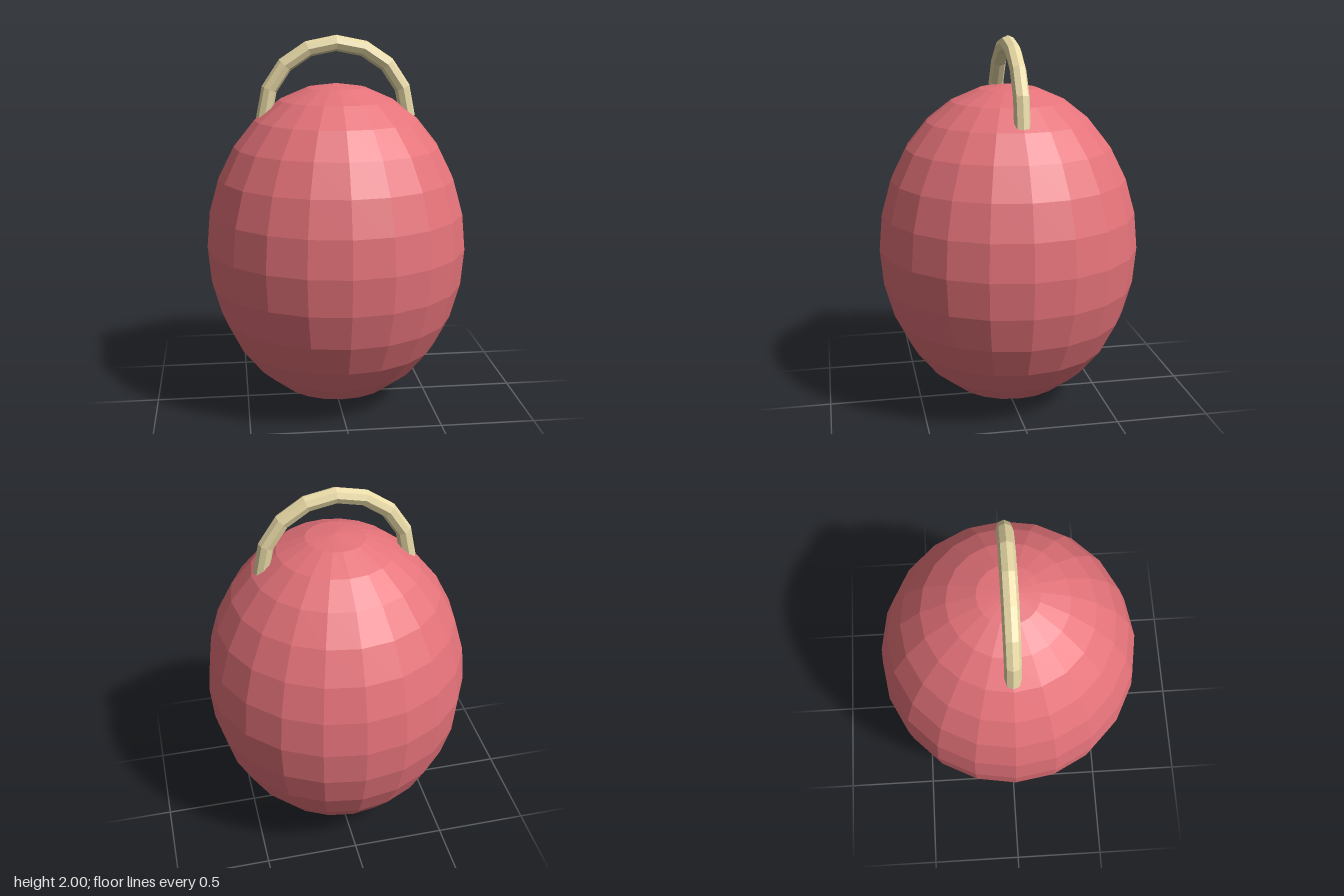
import * as THREE from 'three';

export function createModel() {
  const model = new THREE.Group();

  const addPart = (name, geometry, color, y) => {
    const material = new THREE.MeshStandardMaterial({ color, flatShading: true });
    const mesh = new THREE.Mesh(geometry, material);
    mesh.name = name;
    mesh.position.y = y;
    model.add(mesh);
    return mesh;
  };

  // Faceted, upright egg-shaped body
  const body = new THREE.SphereGeometry(1, 20, 14);
  body.scale(0.7, 0.875, 0.7);
  addPart('body', body, 0xe5737a, 0.875);

  // Half-ring handle whose ends sink into the body
  const handle = new THREE.TorusGeometry(0.383, 0.042, 8, 8, Math.PI);
  addPart('handle', handle, 0xe8d9a6, 1.575).material.side = THREE.DoubleSide;

  return model;
}
